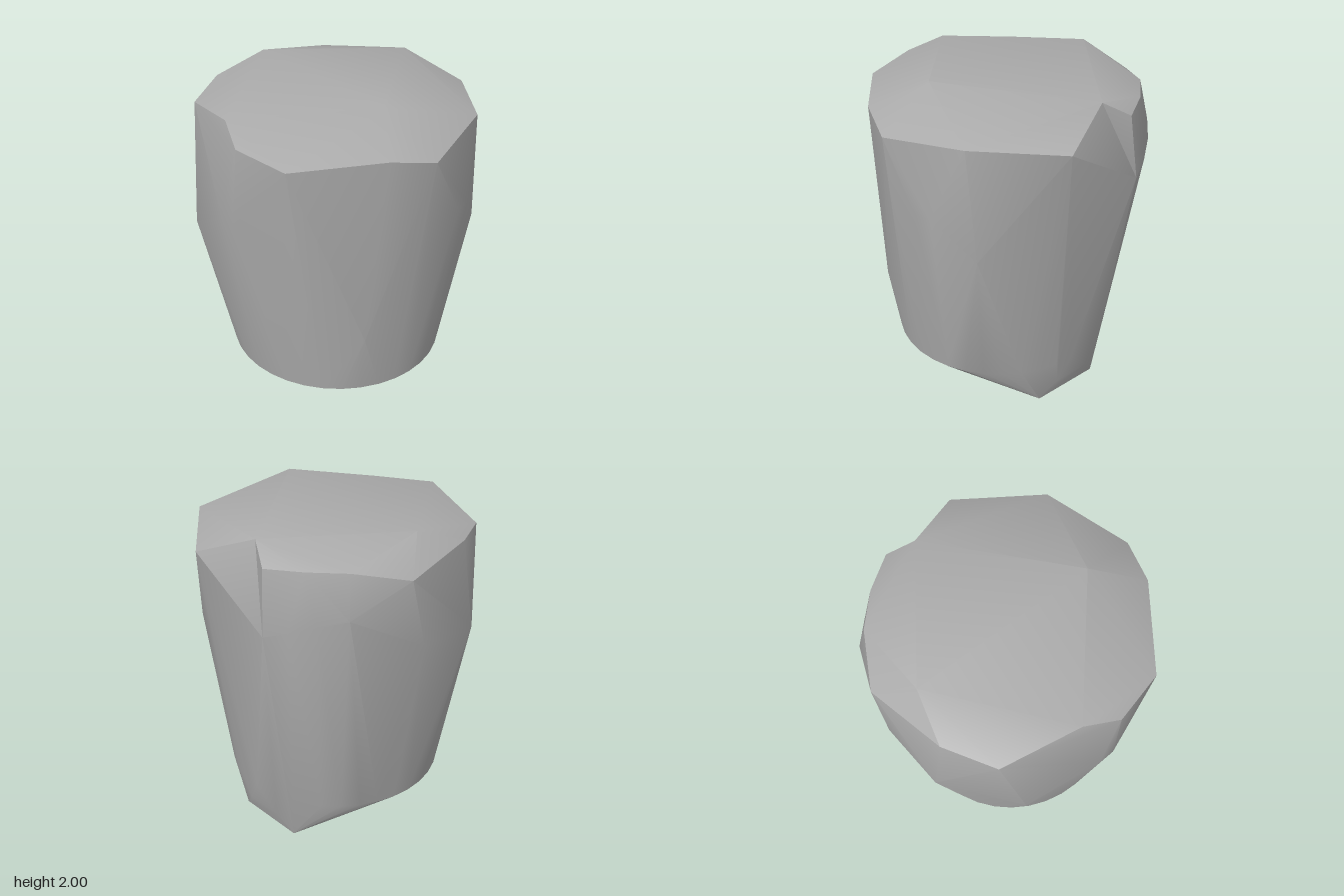
import * as THREE from 'three';
import { ConvexGeometry } from 'three/addons/geometries/ConvexGeometry.js';
import { toCreasedNormals } from 'three/addons/utils/BufferGeometryUtils.js';

const V = (x, y, z) => new THREE.Vector3(x, y, z);

// Replaces the two triangles that share edge a-b by two sharing the other diagonal
function flipEdge(triangles, a, b) {
  const has = (t, p) => t.some((q) => q.distanceTo(p) < 1e-4);
  const shared = triangles.filter((t) => has(t, a) && has(t, b));
  if (shared.length !== 2) return triangles;
  const apex = shared.map((t) => t.find((q) => q.distanceTo(a) > 1e-4 && q.distanceTo(b) > 1e-4));
  const rest = triangles.filter((t) => !shared.includes(t));
  // Keep the winding of the first triangle
  const i = shared[0].indexOf(apex[0]);
  const p = shared[0][(i + 1) % 3], q = shared[0][(i + 2) % 3];
  return [...rest, [apex[0], p, apex[1]], [apex[0], apex[1], q]];
}

function createBoulderGeometry() {
  const notchRight = V(0.23, 1.81, -0.82), notchLeft = V(-0.27, 1.86, -0.76);

  // Slightly domed top and its irregular rim
  const top = [V(0.47, 2, 0.07), V(-0.65, 1.97, 0), V(-0.12, 1.955, -0.68)];
  const rim = [
    V(-0.74, 1.86, 0.29), V(-0.58, 1.83, 0.575), V(-0.12, 1.92, 0.7), V(0.08, 1.85, 0.79),
    V(0.4, 1.81, 0.72), V(0.73, 1.85, 0.29), V(0.825, 1.79, 0.03), V(0.66, 1.85, -0.47),
    notchRight, notchLeft, V(-0.47, 1.87, -0.64), V(-0.64, 1.87, -0.48), V(-0.82, 1.8, -0.2),
  ];

  // Widest part of the sides, left out where flat facets are chipped off
  const sides = [
    V(-0.82, 1.35, 0.3), V(-0.48, 1.12, 0.69), V(-0.05, 1.38, 0.815), V(0.05, 1.38, 0.815),
    V(0.63, 0.67, 0.35), V(0.8, 1.4, -0.2), V(0.77, 1.4, -0.3), V(0.63, 1.17, -0.52),
    V(-0.3, 1.48, -0.8), V(-0.43, 1.53, -0.735), V(-0.56, 1.58, -0.64), V(-0.68, 1.62, -0.52),
    V(-0.83, 1.38, -0.1),
  ];

  // Round lower edge
  const lower = [];
  for (let i = 0; i < 36; i++) {
    const a = (i / 36) * Math.PI * 2;
    lower.push(V(0.66 * Math.cos(a), 0.27, 0.645 * Math.sin(a)));
  }

  // Small foot at the back, below the slanting underside
  const foot = [];
  for (const [x, y, z] of [[0.22, 0, -0.57], [0.18, 0, -0.45], [0.12, 0.12, -0.62]]) {
    foot.push(V(x - 0.03, y, z), V(-x - 0.03, y, z));
  }

  const hull = new ConvexGeometry([...top, ...rim, ...sides, ...lower, ...foot]);
  const pos = hull.getAttribute('position');
  let triangles = [];
  for (let i = 0; i < pos.count; i += 3) {
    triangles.push([0, 1, 2].map((k) => new THREE.Vector3().fromBufferAttribute(pos, i + k)));
  }
  // Notch in the back of the rim
  triangles = flipEdge(triangles, notchRight, notchLeft);

  const geometry = new THREE.BufferGeometry().setFromPoints(triangles.flat());
  return toCreasedNormals(geometry, Math.PI / 6);
}

export function createModel() {
  const model = new THREE.Group();
  model.name = 'boulder';
  const stone = new THREE.MeshStandardMaterial({ color: 0xaaaaaa });
  stone.name = 'stone grey';
  const body = new THREE.Mesh(createBoulderGeometry(), stone);
  body.name = 'boulderBody';
  model.add(body);
  return model;
}
